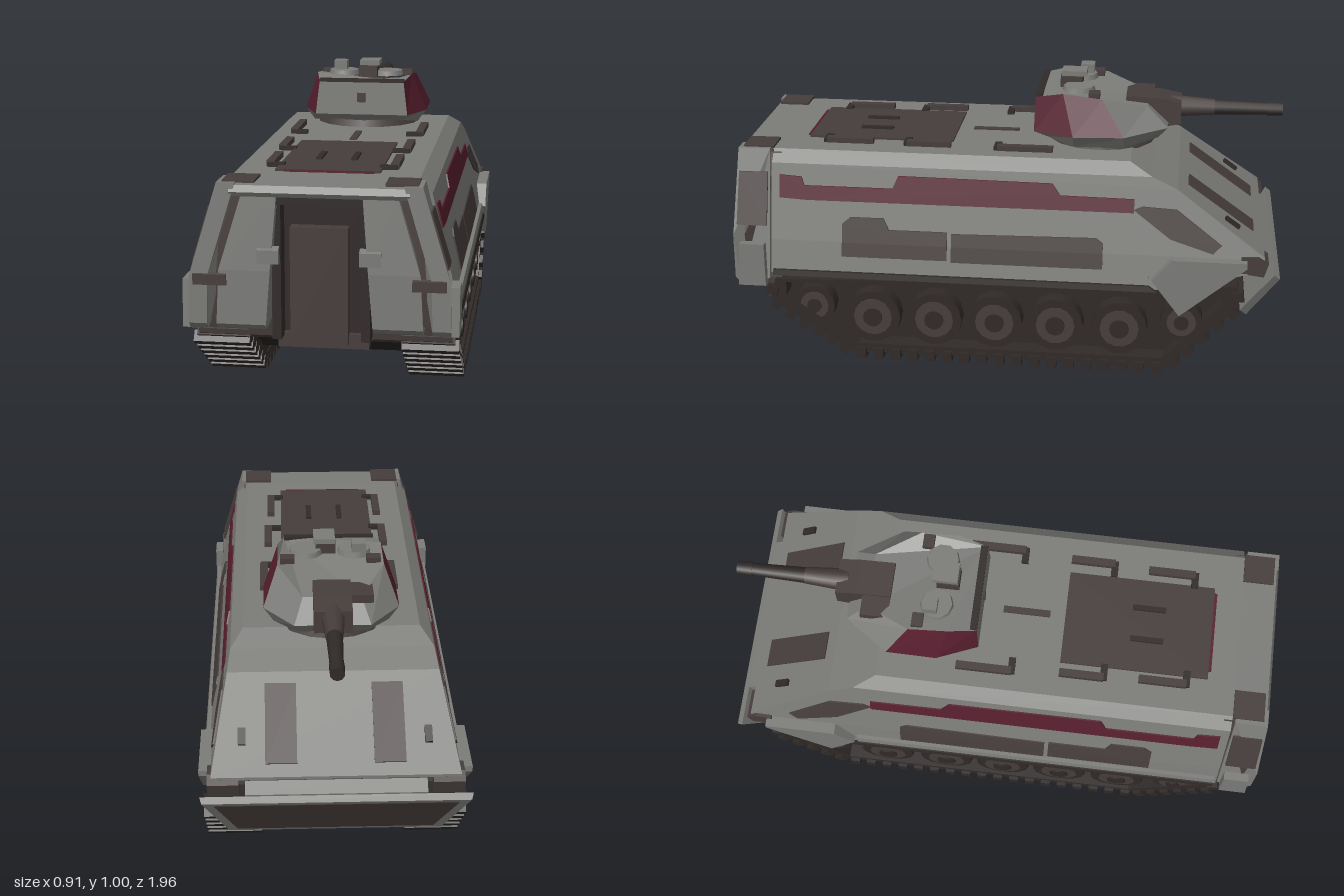
import * as THREE from 'three';

const mat = (name, color) => {
  const m = new THREE.MeshStandardMaterial({ color });
  m.name = name;
  return m;
};

export function createModel() {
  const root = new THREE.Group();
  const gray = mat('armourGray', 0x7b7c78);
  const brown = mat('darkBrown', 0x463d3b);
  const red = mat('maroon', 0x561e2e);
  const black = mat('trackBlack', 0x302a28);
  const belly = mat('bellyBlack', 0x262322);

  const add = (name, geo, material, parent = root) => {
    const m = new THREE.Mesh(geo, material);
    m.name = name;
    parent.add(m);
    return m;
  };
  const box = (name, material, w, h, d, x, y, z, parent) => {
    const m = add(name, new THREE.BoxGeometry(w, h, d), material, parent);
    m.position.set(x, y, z);
    return m;
  };

  // Side profile of [z, y] points, filled across x from a(y) to b(y)
  const path = pts => pts.map(([z, y]) => new THREE.Vector2(-z, y));
  function slab(name, material, pts, a, b, hole) {
    const shape = new THREE.Shape(path(pts));
    if (hole) shape.holes.push(new THREE.Path(path(hole)));
    const geo = new THREE.ExtrudeGeometry(shape, { depth: 1, bevelEnabled: false });
    const p = geo.attributes.position;
    for (let i = 0; i < p.count; i++) {
      const u = p.getX(i), y = p.getY(i), t = p.getZ(i);
      p.setXYZ(i, a(y) + (b(y) - a(y)) * t, y, -u);
    }
    geo.computeVertexNormals();
    return add(name, geo, material);
  }
  const full = (name, material, pts, w) => slab(name, material, pts, y => -w(y), w);
  // The same slab on both sides, from inner(y) to outer(y)
  const pair = (name, material, pts, inner, outer, hole) => {
    slab(name + 'Left', material, pts, inner, outer, hole);
    slab(name + 'Right', material, pts, y => -outer(y), y => -inner(y), hole);
  };

  // Half width of the hull at a given height: skirt, sloped side, roof chamfer
  const W = y => {
    if (y < 0.45) return 0.415 + (0.45 - y) * 0.2;
    return y > 0.72 ? 0.35 - (y - 0.72) * 1.1 : 0.415 - (y - 0.45) * 0.24;
  };
  const c = v => () => v;
  const skin = (name, material, pts, lift = 0.005) =>
    pair(name, material, pts, y => W(y) - 0.003, y => W(y) + lift);

  // Hull
  full('roof', gray, [[0.83, 0.72], [0.83, 0.76], [-0.45, 0.76], [-0.53, 0.72]], W);
  full('upperHull', gray, [[0.83, 0.45], [0.83, 0.72], [-0.53, 0.72], [-0.62, 0.68], [-0.93, 0.46], [-0.93, 0.45]], W);
  full('sponson', gray, [[0.83, 0.45], [0.83, 0.33], [-0.62, 0.33], [-0.88, 0.4], [-0.93, 0.45]], W);
  full('lowerHull', belly, [[0.83, 0.24], [0.83, 0.4], [-0.9, 0.42], [-0.66, 0.1], [0.56, 0.1]], c(0.27));
  full('lowerNosePlate', brown, [[-0.9, 0.42], [-0.908, 0.415], [-0.668, 0.095], [-0.66, 0.1]], c(0.265));
  full('roofLip', gray, [[0.83, 0.72], [0.95, 0.72], [0.96, 0.735], [0.95, 0.757], [0.83, 0.76]], c(0.29));

  // Side markings and skirt
  skin('stripe', red, [[0.8, 0.6], [0.8, 0.68], [0.72, 0.675], [0.71, 0.645], [0.39, 0.645], [0.37, 0.69],
    [-0.18, 0.685], [-0.21, 0.645], [-0.47, 0.642], [-0.47, 0.595], [0.7, 0.595]]);
  skin('sidePanelRear', brown, [[0.57, 0.45], [0.57, 0.515], [0.54, 0.54], [0.42, 0.54], [0.4, 0.5], [0.19, 0.5], [0.19, 0.45]]);
  skin('sidePanelFront', brown, [[0.175, 0.45], [0.175, 0.495], [-0.34, 0.503], [-0.365, 0.485], [-0.365, 0.45]]);
  skin('sidePanelRearLower', brown, [[0.57, 0.4], [0.57, 0.45], [0.19, 0.45], [0.19, 0.4]]);
  skin('sidePanelFrontLower', brown, [[0.175, 0.395], [0.175, 0.45], [-0.365, 0.45], [-0.365, 0.395]]);
  skin('cheekPanel', brown, [[-0.47, 0.605], [-0.5, 0.618], [-0.62, 0.612], [-0.78, 0.495], [-0.75, 0.465], [-0.6, 0.51]]);
  skin('skirtEdge', black, [[0.82, 0.325], [0.82, 0.345], [-0.53, 0.345], [-0.56, 0.325]], 0.012);
  skin('skirtRidge', gray, [[0.82, 0.36], [0.82, 0.385], [-0.53, 0.385], [-0.53, 0.36]], 0.014);
  pair('frontFender', gray, [[-0.61, 0.45], [-0.54, 0.37], [-0.64, 0.24], [-0.87, 0.43], [-0.87, 0.45]], c(0.4), c(0.455));
  pair('noseLamp', brown, [[-0.85, 0.46], [-0.91, 0.462], [-0.945, 0.44], [-0.93, 0.39], [-0.85, 0.4]], c(0.32), c(0.425));

  // Folded trim vane at the nose
  const vaneW = y => 0.36 + (y - 0.22) * 0.47;
  full('trimVane', gray, [[-0.985, 0.395], [-0.965, 0.41], [-0.855, 0.235], [-0.878, 0.215]], vaneW);
  full('trimVaneFace', brown, [[-0.984, 0.385], [-0.978, 0.385], [-0.882, 0.228], [-0.888, 0.228]], y => vaneW(y) - 0.035);
  full('vaneBracket', gray, [[-0.9, 0.46], [-0.965, 0.415], [-0.96, 0.39], [-0.88, 0.41]], c(0.3));

  // Painted bars on the sloped bow plate
  const slope = Math.atan2(0.22, 0.31);
  for (const s of [-1, 1]) {
    const bar = box('bowBar', brown, 0.105, 0.008, 0.29, s * 0.18, 0.571, -0.775);
    bar.rotation.x = -slope;
    const slot = box('bowSlot', black, 0.025, 0.016, 0.06, s * 0.31, 0.545, -0.815);
    slot.rotation.x = -slope;
  }

  // Roof panel, rails and hatch bars
  box('roofPanel', brown, 0.35, 0.008, 0.53, -0.005, 0.763, 0.465);
  box('roofPanelEnd', red, 0.3, 0.006, 0.012, 0, 0.763, 0.734);
  for (const s of [-1, 1]) {
    for (const [x, z, l] of [[0.235, -0.07, 0.2], [0.22, 0.28, 0.16], [0.21, 0.57, 0.17]]) {
      box('roofRail', brown, 0.028, 0.022, l, s * x, 0.768, z);
      box('roofRailFoot', black, 0.06, 0.016, 0.025, s * (x - 0.02), 0.766, z + l / 2);
    }
    box('roofHatchBar', black, 0.02, 0.012, 0.12, s * 0.06, 0.769, 0.5);
  }
  box('roofSlot', brown, 0.025, 0.008, 0.17, 0, 0.761, 0.06);

  // Rear stowage pods either side of the door
  const podW = y => (y > 0.45 ? 0.425 - (y - 0.45) * 0.3 : 0.425);
  pair('rearPodInner', gray, [[0.81, 0.3], [0.94, 0.28], [0.965, 0.3], [0.965, 0.48], [0.945, 0.745], [0.81, 0.745]],
    y => 0.175 - (y - 0.27) * 0.08, y => podW(y) - 0.09);
  pair('rearPodOuter', gray, [[0.84, 0.3], [0.95, 0.28], [0.968, 0.3], [0.968, 0.46], [0.955, 0.765], [0.84, 0.765]],
    y => podW(y) - 0.06, podW);
  pair('rearPodGap', brown, [[0.8, 0.3], [0.92, 0.3], [0.93, 0.46], [0.92, 0.75], [0.8, 0.75]],
    y => podW(y) - 0.1, y => podW(y) - 0.015);
  pair('rearPodPanel', brown, [[0.845, 0.5], [0.845, 0.685], [0.95, 0.685], [0.955, 0.5]], y => podW(y) - 0.003, y => podW(y) + 0.005);
  pair('rearPodCap', brown, [[0.83, 0.762], [0.83, 0.77], [0.94, 0.77], [0.94, 0.762]], c(0.21), c(0.315));
  pair('rearPodPatch', brown, [[0.962, 0.43], [0.962, 0.47], [0.972, 0.465], [0.972, 0.43]], c(0.3), c(0.41));
  pair('rearFlap', gray, [[0.85, 0.28], [0.85, 0.44], [0.94, 0.44], [0.95, 0.28]], c(0.42), c(0.45));
  pair('rearHandle', gray, [[0.945, 0.5], [0.945, 0.56], [0.97, 0.55], [0.97, 0.505]], c(0.13), c(0.2));
  pair('rearBumper', brown, [[0.78, 0.2], [0.78, 0.3], [0.86, 0.3], [0.85, 0.23]], c(0.13), c(0.42));

  // Rear door in its recess
  box('doorRecess', black, 0.32, 0.5, 0.04, 0, 0.475, 0.83);
  box('doorPanel', brown, 0.19, 0.39, 0.05, -0.01, 0.415, 0.87);
  box('doorSill', brown, 0.3, 0.05, 0.06, 0, 0.225, 0.84);
  for (const s of [-1, 1]) box('doorPost', black, 0.03, 0.47, 0.08, s * 0.145, 0.475, 0.88);
  box('doorLintel', black, 0.3, 0.03, 0.1, 0, 0.708, 0.89);

  // Tracks: belt, inner fill, links and wheels
  const belt = [[0.82, 0.3], [0.84, 0.22], [0.54, 0.025], [-0.6, 0.025], [-0.85, 0.28], [-0.84, 0.35]];
  const inner = [[0.78, 0.29], [0.78, 0.24], [0.52, 0.06], [-0.59, 0.06], [-0.79, 0.28], [-0.79, 0.31]];
  pair('trackBelt', black, belt, c(0.255), c(0.43), inner);
  pair('trackFill', black, inner, c(0.26), c(0.36));
  const tracks = new THREE.Group();
  tracks.name = 'trackParts';
  root.add(tracks);
  for (const s of [-1, 1]) {
    for (let k = 0; k < belt.length - 1; k++) {
      const [z0, y0] = belt[k], [z1, y1] = belt[k + 1];
      const len = Math.hypot(z1 - z0, y1 - y0), n = Math.max(1, Math.round(len / 0.065));
      for (let i = 0; i < n; i++) {
        const t = (i + 0.5) / n;
        const link = box('trackLink', black, 0.19, 0.04, 0.035, s * 0.348, y0 + (y1 - y0) * t, z0 + (z1 - z0) * t, tracks);
        link.rotation.x = -Math.atan2(y1 - y0, z1 - z0);
      }
    }
    for (const z of [0.68, 0.465, 0.24, 0.02, -0.2, -0.43, -0.65]) {
      const end = z > 0.6 || z < -0.6;
      const y = end ? 0.2 : 0.165, r = end ? 0.075 : 0.1;
      for (const [name, rad, w, m] of [['roadWheel', r, 0.11, black], ['wheelDisc', r * 0.7, 0.12, brown], ['wheelHub', r * 0.35, 0.135, black]]) {
        const wheel = add(name, new THREE.CylinderGeometry(rad, rad, w, 14), m, tracks);
        wheel.rotation.z = Math.PI / 2;
        wheel.position.set(s * 0.365, y, z);
      }
    }
  }

  // Turret shell from rings of [x, z, y], with maroon flanks
  const ring = half => [...half, ...half.slice().reverse().map(([x, z, y]) => [-x, z, y])];
  function loft(name, low, high, mats, pick) {
    const a = ring(low), b = ring(high), n = a.length, pos = [];
    const geo = new THREE.BufferGeometry();
    const tri = (...ps) => ps.forEach(([x, z, y]) => pos.push(x, y, z));
    for (let i = 0; i < n; i++) {
      const j = (i + 1) % n;
      tri(a[i], a[j], b[j], a[i], b[j], b[i]);
      geo.addGroup(i * 6, 6, pick(i));
    }
    for (let i = 1; i < n - 1; i++) tri(b[0], b[i], b[i + 1]);
    geo.addGroup(n * 6, (n - 2) * 3, 0);
    geo.setAttribute('position', new THREE.Float32BufferAttribute(pos, 3));
    geo.computeVertexNormals();
    return add(name, geo, mats);
  }
  const base = [[0.15, -0.14, 0.79], [0.2, -0.24, 0.77], [0.2, -0.42, 0.77], [0.12, -0.54, 0.79]];
  const waist = [[0.175, -0.095, 0.815], [0.235, -0.24, 0.815], [0.235, -0.42, 0.82], [0.13, -0.575, 0.83]];
  const crown = [[0.16, -0.1, 0.94], [0.182, -0.2, 0.96], [0.185, -0.34, 0.945], [0.1, -0.5, 0.9]];
  loft('turretSkirt', base, waist, [gray], () => 0);
  loft('turretShell', waist, crown, [gray, red], i => ([0, 1, 5, 6].includes(i) ? 1 : 0));
  const collar = add('turretRing', new THREE.CylinderGeometry(0.19, 0.2, 0.03, 16), brown);
  collar.position.set(0, 0.77, -0.33);
  box('turretRearRim', black, 0.32, 0.012, 0.025, 0, 0.943, -0.112);
  box('turretRearLatch', brown, 0.03, 0.035, 0.02, 0, 0.88, -0.1);

  // Hatches and sights on the turret roof
  for (const s of [-1, 1]) {
    const hatch = add('turretHatch', new THREE.CylinderGeometry(0.055, 0.06, 0.018, 10), gray);
    hatch.position.set(s * 0.085, 0.958, -0.25);
    box('hatchHinge', brown, 0.05, 0.02, 0.04, s * 0.15, 0.952, -0.31);
  }
  box('sightBase', brown, 0.07, 0.04, 0.08, 0.015, 0.967, -0.22);
  box('sightTop', gray, 0.075, 0.018, 0.09, 0.02, 1.0, -0.23);
  box('periscope', gray, 0.05, 0.05, 0.05, -0.1, 0.975, -0.27);
  box('turretCheek', brown, 0.08, 0.03, 0.1, -0.1, 0.9, -0.47);

  // Gun with mantlet
  full('mantlet', brown, [[-0.42, 0.81], [-0.42, 0.925], [-0.54, 0.92], [-0.62, 0.905], [-0.62, 0.825], [-0.54, 0.81]], c(0.065));
  const barrel = (name, r0, r1, z0, z1, m) => {
    const g = add(name, new THREE.CylinderGeometry(r1, r0, z0 - z1, 10), m);
    g.rotation.x = -Math.PI / 2;
    g.position.set(0, 0.875, (z0 + z1) / 2);
  };
  barrel('gunSleeve', 0.042, 0.03, -0.58, -0.74, brown);
  barrel('gunBarrel', 0.029, 0.022, -0.72, -0.97, black);
  barrel('muzzle', 0.026, 0.024, -0.93, -0.985, black);

  return root;
}
